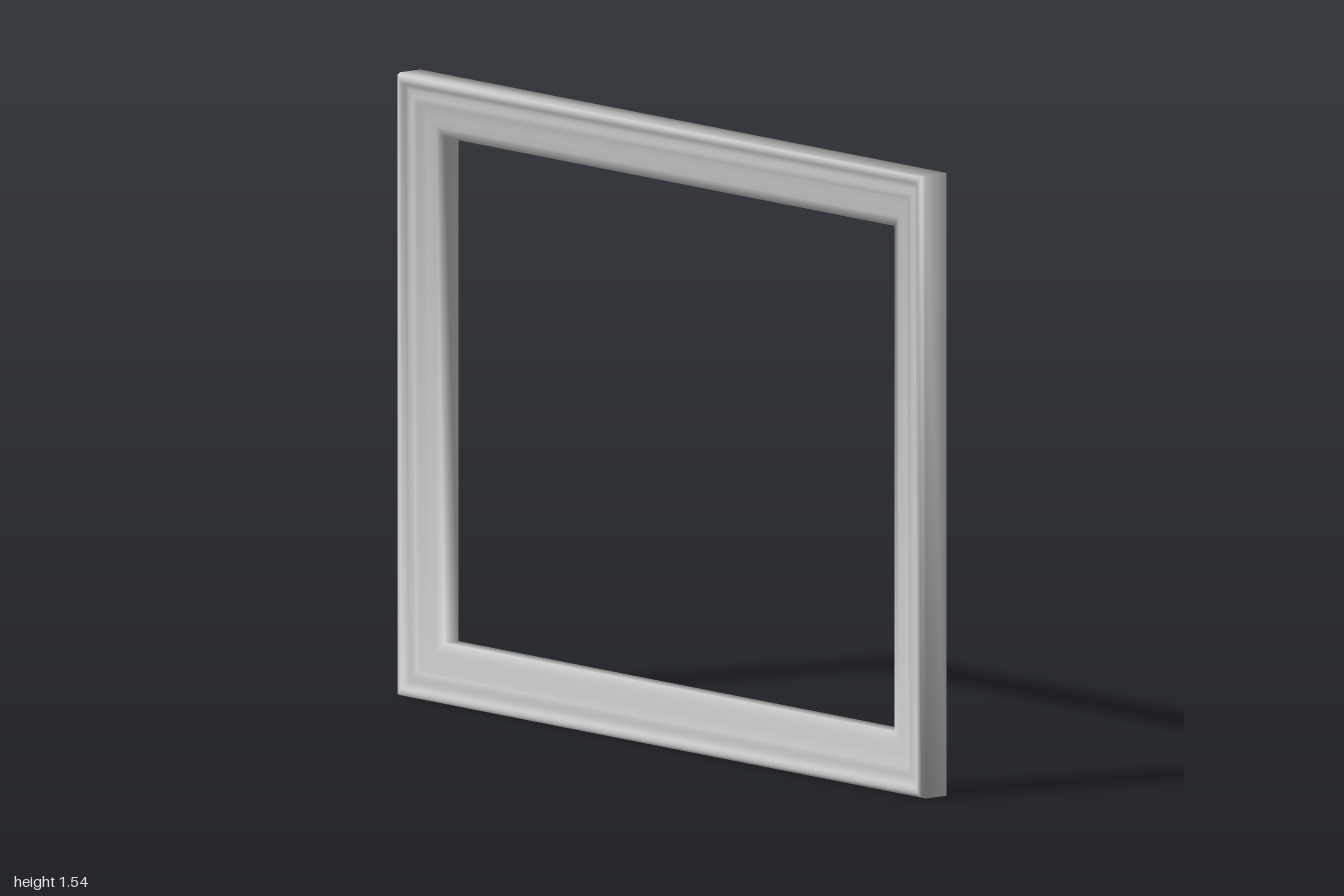
import * as THREE from 'three';

const HALF_W = 1, HALF_H = 0.77;

// Moulding section as [inset from the outer edge, z], from outer back round to inner back
const PROFILE = [
  [0, -0.04], [0, 0.026], [0.004, 0.036], [0.012, 0.04], [0.021, 0.038],
  [0.027, 0.031], [0.038, 0.027], [0.052, 0.028], [0.065, 0.027],
  [0.07, 0.021], [0.095, 0.017], [0.12, 0.011], [0.145, 0.004], [0.145, -0.04],
];

// Sweep the section round the four mitred corners, sharing vertices for smooth shading
function mouldingGeometry() {
  const corners = [[-1, -1], [1, -1], [1, 1], [-1, 1]];
  const n = PROFILE.length;
  const positions = [], indices = [];
  for (const [sx, sy] of corners) {
    for (const [d, z] of PROFILE) {
      positions.push(sx * (HALF_W - d), HALF_H + sy * (HALF_H - d), z);
    }
  }
  for (let j = 0; j < 4; j++) {
    const k = (j + 1) % 4;
    for (let i = 0; i < n; i++) {
      const m = (i + 1) % n; // the last step closes the flat back
      const a = j * n + i, b = k * n + i, c = k * n + m, d = j * n + m;
      indices.push(a, b, c, a, c, d);
    }
  }
  const geometry = new THREE.BufferGeometry();
  geometry.setAttribute('position', new THREE.Float32BufferAttribute(positions, 3));
  geometry.setIndex(indices);
  geometry.computeVertexNormals();
  return geometry;
}

export function createModel() {
  const group = new THREE.Group();
  group.name = 'pictureFrame';
  const frame = new THREE.Mesh(
    mouldingGeometry(),
    new THREE.MeshStandardMaterial({ color: 0xcccccc })
  );
  frame.name = 'frameMoulding';
  group.add(frame);
  return group;
}
